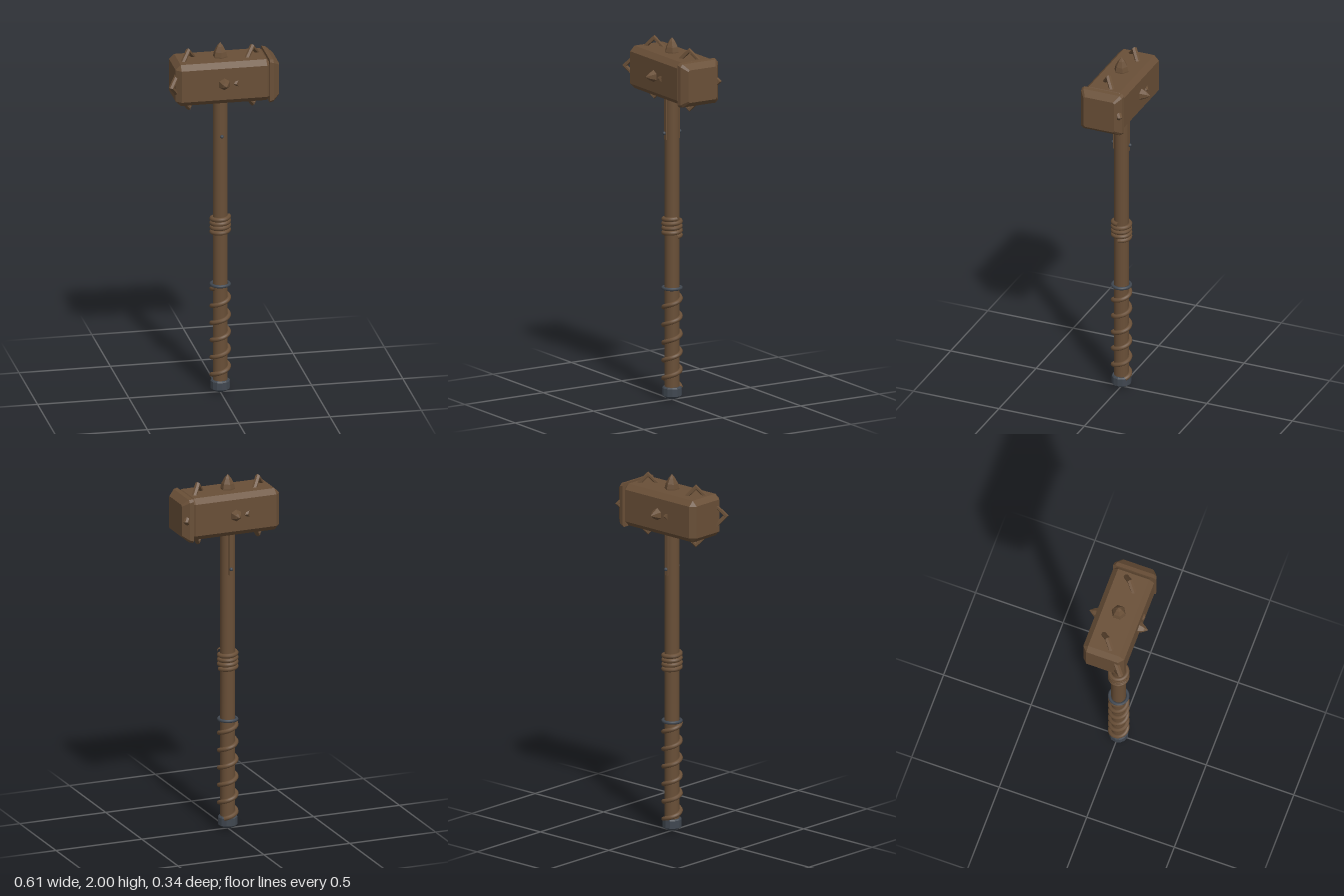
import * as THREE from 'three';

const brown = new THREE.MeshStandardMaterial({ name: 'weathered brown', color: 0x694f37 });
const steel = new THREE.MeshStandardMaterial({ name: 'dark steel', color: 0x404750 });
const HEAD_Y = 1.8;

// Flat-shaded copy of a geometry
function faceted(geo) {
  const g = geo.index ? geo.toNonIndexed() : geo;
  g.computeVertexNormals();
  return g;
}

// Solid running along x from square sections with cut corners: [x, half size, corner cut]
function squareLoft(sections) {
  const pos = [];
  const rings = sections.map(([x, h, c]) => {
    const k = h - c;
    return [[k, h], [-k, h], [-h, k], [-h, -k], [-k, -h], [k, -h], [h, -k], [h, k]]
      .map(([z, y]) => [x, y, z]);
  });
  const tri = (a, b, c) => pos.push(...a, ...b, ...c);
  for (let s = 0; s < rings.length - 1; s++) {
    for (let i = 0; i < 8; i++) {
      const j = (i + 1) % 8;
      const [a, b, c, d] = [rings[s][i], rings[s][j], rings[s + 1][j], rings[s + 1][i]];
      tri(a, c, b);
      tri(a, d, c);
    }
  }
  const first = rings[0], last = rings[rings.length - 1];
  for (let i = 1; i < 7; i++) {
    tri(first[0], first[i], first[i + 1]);
    tri(last[0], last[i + 1], last[i]);
  }
  const g = new THREE.BufferGeometry();
  g.setAttribute('position', new THREE.Float32BufferAttribute(pos, 3));
  g.computeVertexNormals();
  return g;
}

// Cord wound around the shaft
function cord(y0, y1, turns, radius, thickness, start) {
  const pts = [];
  const n = Math.round(turns * 16);
  for (let i = 0; i <= n; i++) {
    const t = i / n, a = start + t * turns * Math.PI * 2;
    pts.push(new THREE.Vector3(radius * Math.sin(a), y0 + (y1 - y0) * t, radius * Math.cos(a)));
  }
  return new THREE.TubeGeometry(new THREE.CatmullRomCurve3(pts), n * 2, thickness, 8);
}

export function createModel() {
  const root = new THREE.Group();
  root.name = 'warHammer';
  const add = (name, geo, mat, x = 0, y = 0, z = 0, parent = root) => {
    const m = new THREE.Mesh(geo, mat);
    m.name = name;
    m.position.set(x, y, z);
    parent.add(m);
    return m;
  };

  // Shaft, pommel and collar
  add('shaft', new THREE.CylinderGeometry(0.04, 0.04, 1.66, 16), brown, 0, 0.87, 0);
  const pommel = [[0, 0], [0.03, 0.008], [0.053, 0.024], [0.053, 0.066], [0.047, 0.073], [0, 0.073]]
    .map(([x, y]) => new THREE.Vector2(x, y));
  add('pommel', faceted(new THREE.LatheGeometry(pommel, 12)), steel);
  const collar = add('collar', new THREE.TorusGeometry(0.049, 0.009, 8, 24), steel, 0, 0.617, 0);
  collar.rotation.x = Math.PI / 2;

  // Cord wraps
  add('gripWrap', cord(0.065, 0.605, 5.5, 0.046, 0.0125, Math.PI * 0.75), brown);
  add('upperWrap', cord(0.905, 1.005, 4, 0.046, 0.0125, Math.PI * 0.5), brown);

  // Side straps with pins under the head
  for (const s of [1, -1]) {
    add('strap', new THREE.BoxGeometry(0.02, 0.24, 0.014), brown, 0, 1.56, s * 0.039);
    add('pin', new THREE.SphereGeometry(0.01, 10, 8), steel, 0, 1.475, s * 0.049);
  }

  // Hammer head
  const head = new THREE.Group();
  head.name = 'head';
  head.position.y = HEAD_Y;
  root.add(head);
  add('headBlock', squareLoft([
    [-0.262, 0.09, 0.001], [-0.234, 0.117, 0.028], [0.234, 0.117, 0.028], [0.262, 0.09, 0.001],
  ]), brown, 0, 0, 0, head);
  add('strikingPlate', squareLoft([
    [0.248, 0.123, 0.012], [0.27, 0.119, 0.014], [0.305, 0.09, 0.008],
  ]), brown, 0, -0.002, 0, head);

  // Six-sided spikes on the top, front and back
  const profile = [[0.04, 0], [0.04, 0.035], [0.034, 0.06], [0.018, 0.09], [0, 0.112]]
    .map(([x, y]) => new THREE.Vector2(x, y));
  const spikeGeo = faceted(new THREE.LatheGeometry(profile, 6));
  add('topSpike', spikeGeo, brown, 0, 0.088, 0, head);
  for (const s of [1, -1]) {
    const spike = add('sideSpike', spikeGeo, brown, 0, 0, s * 0.056, head);
    spike.rotation.x = s * Math.PI / 2;
  }

  // Diamond-shaped rings running diagonally through the head
  const ringGeo = faceted(new THREE.TorusGeometry(0.162, 0.015, 6, 4));
  for (const s of [1, -1]) {
    const ring = add('diamondRing', ringGeo, brown, s * 0.175, 0, 0, head);
    ring.rotation.y = Math.PI / 4;
  }
  return root;
}
